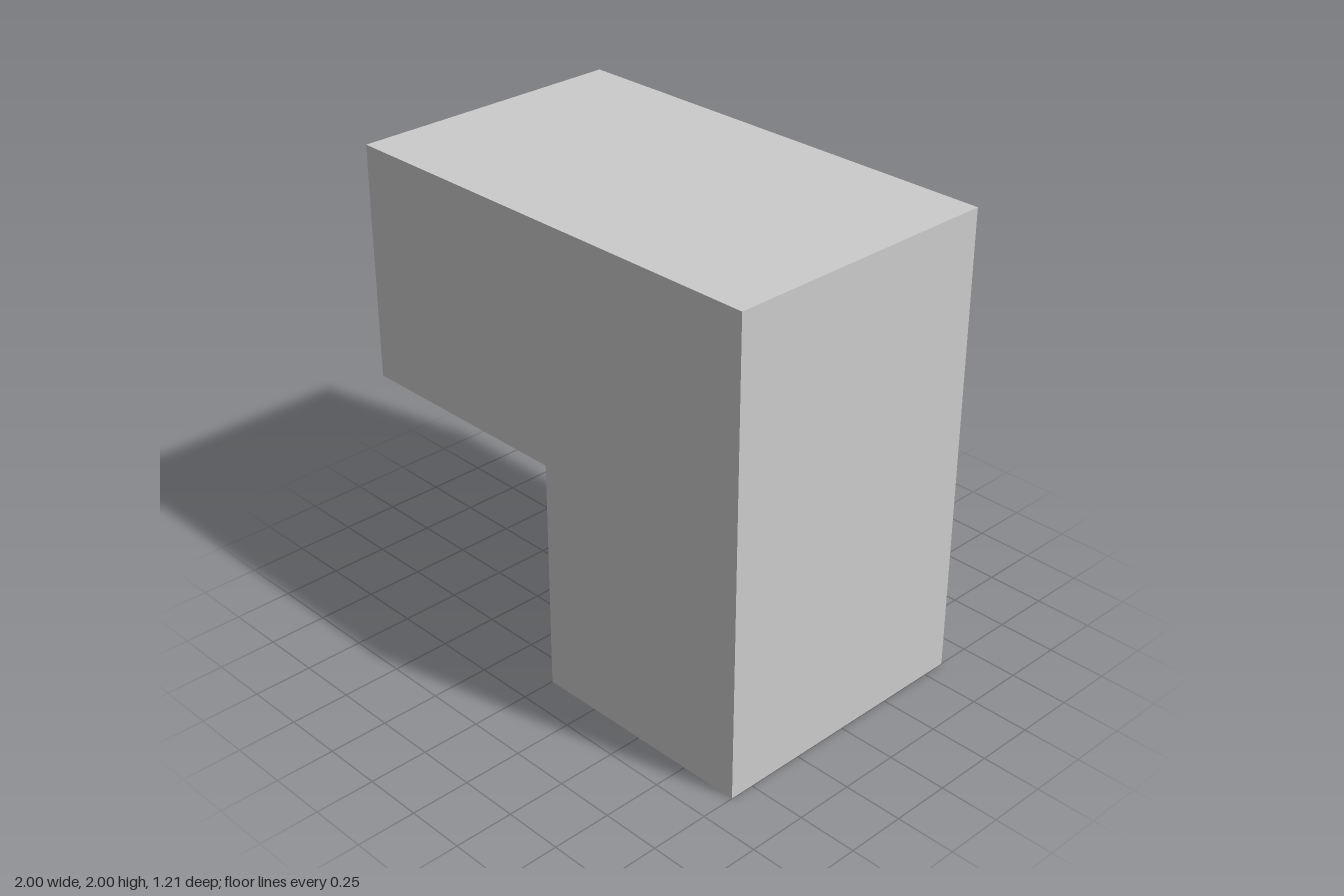
import * as THREE from 'three';

const HALF_DEPTH = 0.605;
const PANEL = 0.02;
const CAVITY = 0.25;

// L-shaped outline, optionally pierced by a rectangle [x0, y0, x1, y1]
function outline(hole) {
  const pts = [[0, 0], [1, 0], [1, 2], [-1, 2], [-1, 1], [0, 1]];
  const shape = new THREE.Shape(pts.map(([x, y]) => new THREE.Vector2(x, y)));
  if (hole) {
    const [x0, y0, x1, y1] = hole;
    const path = new THREE.Path();
    path.moveTo(x0, y0).lineTo(x0, y1).lineTo(x1, y1).lineTo(x1, y0).closePath();
    shape.holes.push(path);
  }
  return shape;
}

export function createModel() {
  const group = new THREE.Group();
  group.name = 'cornerBlock';
  const material = new THREE.MeshStandardMaterial({ color: 0xcccccc });

  const layer = (name, z0, z1, hole) => {
    const geometry = new THREE.ExtrudeGeometry(outline(hole), { depth: z1 - z0, bevelEnabled: false });
    geometry.translate(0, 0, z0);
    const mesh = new THREE.Mesh(geometry, material);
    mesh.name = name;
    group.add(mesh);
  };

  const back = -HALF_DEPTH;
  // Solid front body
  layer('body', back + CAVITY, HALF_DEPTH);
  // Ring around the cavity behind the window
  layer('cavityWall', back + PANEL, back + CAVITY, [0.25, 1.05, 0.9, 1.45]);
  // Thin back panel with its small square window
  layer('backPanel', back, back + PANEL, [0.5, 1.21, 0.695, 1.41]);

  return group;
}
